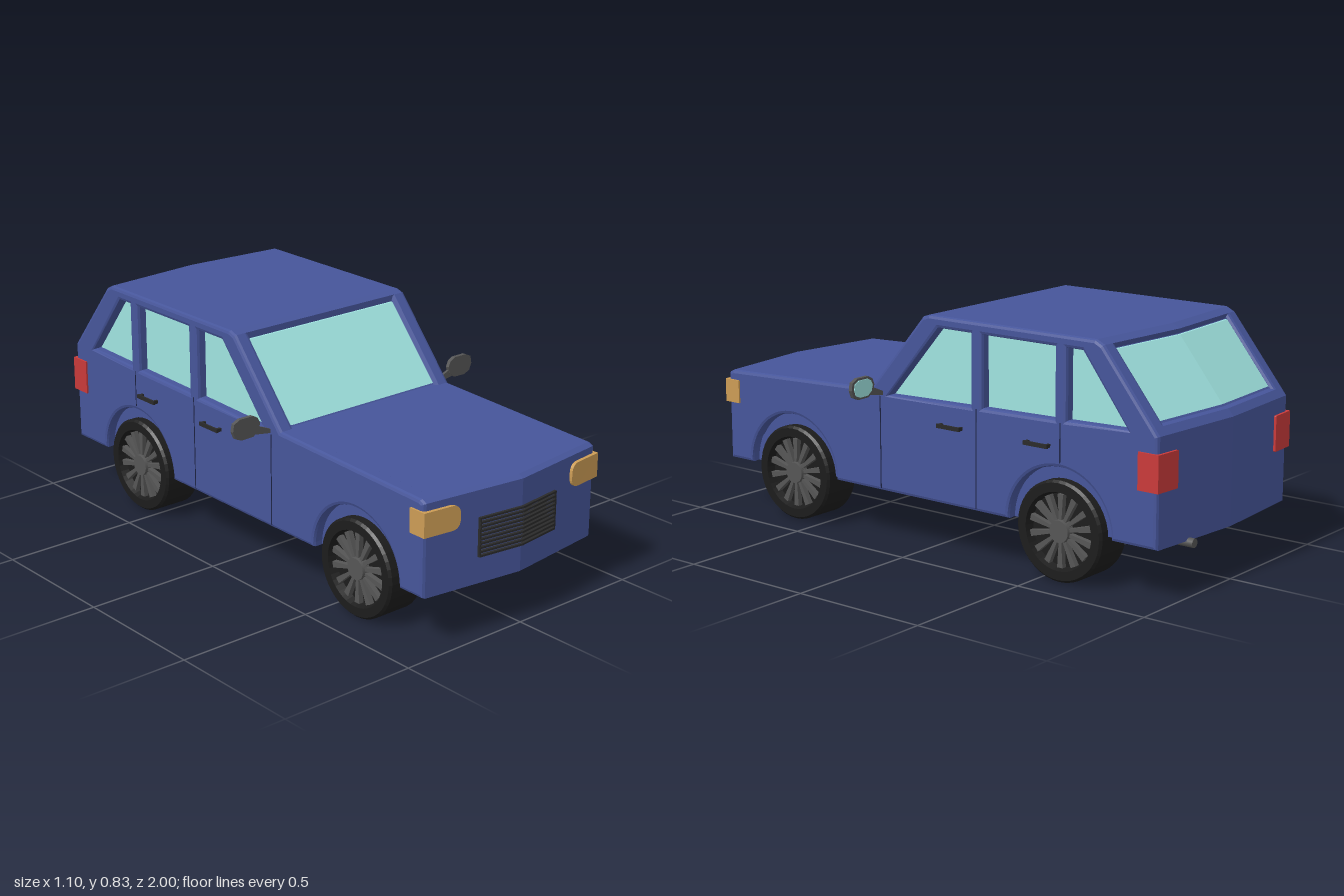
import * as THREE from 'three';

const mat = (color, extra = {}) => new THREE.MeshStandardMaterial({ color, ...extra });
const paint = mat(0x46559a), seamPaint = mat(0x1e2547), glass = mat(0x9fe3e0);
const amber = mat(0xcc9c55), red = mat(0xc93a3a), dark = mat(0x2a2a2a);
const grey = mat(0x555555), rubber = mat(0x1c1c1c, { flatShading: true });

const WIDTH = 0.39, WHEEL_Z = [0.62, -0.58], SIDES = [1, -1];

function add(parent, name, geometry, material) {
  const mesh = new THREE.Mesh(geometry, material);
  mesh.name = name;
  parent.add(mesh);
  return mesh;
}

function box(w, h, d, x, y, z, segments = 1) {
  return new THREE.BoxGeometry(w, h, d, segments, 1, 1).translate(x, y, z);
}

const polygon = (points) => new THREE.Shape(points.map(([a, b]) => new THREE.Vector2(a, b)));

// Nose and tail come to a shallow point in plan: push the ends out towards the middle
function arrow(geometry) {
  const g = geometry.index ? geometry.toNonIndexed() : geometry;
  const p = g.attributes.position;
  for (let i = 0; i < p.count; i++) {
    const z = p.getZ(i), f = Math.max(0, 1 - Math.abs(p.getX(i)) / WIDTH);
    if (z > 0.8) p.setZ(i, z + 0.05 * f);
    else if (z < -0.7) p.setZ(i, z - 0.03 * f);
  }
  g.computeVertexNormals();
  return g;
}

// Extrude a (z, y) profile across x, centred on cx
function across(shape, width, cx = 0, bevel = 0) {
  const depth = width - 2 * bevel;
  const g = new THREE.ExtrudeGeometry(shape, {
    depth, steps: 2, curveSegments: 20, bevelEnabled: bevel > 0,
    bevelThickness: bevel, bevelSize: bevel, bevelOffset: -bevel, bevelSegments: 2,
  });
  g.translate(0, 0, -depth / 2).rotateY(-Math.PI / 2).translate(cx, 0, 0);
  return arrow(g);
}

// Extrude an (x, y) outline from z0 to z1
function along(shape, z0, z1) {
  return new THREE.ExtrudeGeometry(shape, { depth: z1 - z0, bevelEnabled: false, curveSegments: 6 })
    .translate(0, 0, z0);
}

function sidePanelShape() {
  const s = new THREE.Shape();
  s.moveTo(-0.965, 0.18);
  for (const z of [...WHEEL_Z].reverse()) {
    s.lineTo(z - 0.21, 0.18);
    s.absarc(z, 0.18, 0.21, Math.PI, 0, true);
  }
  [[0.94, 0.18], [0.94, 0.505], [0.92, 0.515], [0.24, 0.54], [0, 0.82], [-0.03, 0.83],
    [-0.72, 0.83], [-0.75, 0.815], [-0.945, 0.575], [-0.965, 0.55]].forEach(([z, y]) => s.lineTo(z, y));
  const windows = [
    [[0.155, 0.527], [-0.07, 0.788], [-0.21, 0.788], [-0.21, 0.538]],
    [[-0.26, 0.54], [-0.26, 0.788], [-0.56, 0.788], [-0.56, 0.547]],
    [[-0.608, 0.549], [-0.608, 0.788], [-0.67, 0.788], [-0.848, 0.556]],
  ];
  s.holes = windows.map((w) => new THREE.Path(w.map(([a, b]) => new THREE.Vector2(a, b))));
  return s;
}

// Lamp outline: rounded towards the middle of the car
function lampShape(side, inner, y0, y1, r) {
  const outer = 0.397, s = new THREE.Shape();
  s.moveTo(side * outer, y0);
  s.lineTo(side * (inner + r), y0);
  s.quadraticCurveTo(side * inner, y0, side * inner, y0 + r);
  s.lineTo(side * inner, y1 - r);
  s.quadraticCurveTo(side * inner, y1, side * (inner + r), y1);
  s.lineTo(side * outer, y1);
  return s;
}

function wheel(side, z) {
  const g = new THREE.Group();
  g.name = 'wheel';
  const profile = [[0.125, -0.04], [0.132, -0.075], [0.165, -0.075], [0.173, -0.066],
    [0.173, 0.066], [0.165, 0.075], [0.134, 0.075], [0.125, 0.045]];
  add(g, 'tire', new THREE.LatheGeometry(profile.map(([r, h]) => new THREE.Vector2(r, h)), 40), rubber);
  add(g, 'rimBack', new THREE.CylinderGeometry(0.128, 0.128, 0.09, 40), rubber);
  add(g, 'hub', new THREE.CylinderGeometry(0.038, 0.042, 0.03, 24).translate(0, 0.058, 0), grey);
  for (let i = 0; i < 14; i++) {
    // spokes widen towards the rim
    const spoke = polygon([[0.03, -0.005], [0.125, -0.011], [0.125, 0.011], [0.03, 0.005]]);
    const geo = along(spoke, 0, 0.02).rotateX(-Math.PI / 2).translate(0, 0.044, 0);
    add(g, 'spoke', geo.rotateY((i / 14) * Math.PI * 2), grey);
  }
  g.rotation.z = -side * Math.PI / 2;
  g.position.set(side * 0.315, 0.173, z);
  return g;
}

function mirror(side) {
  const g = new THREE.Group();
  g.name = 'wingMirror';
  const outline = [[0.435, 0.572], [0.445, 0.593], [0.465, 0.604], [0.52, 0.604], [0.545, 0.592],
    [0.55, 0.565], [0.54, 0.54], [0.515, 0.529], [0.465, 0.53], [0.442, 0.547]];
  const scaled = (k) => polygon(outline.map(([x, y]) =>
    [side * (0.493 + (x - 0.493) * k), 0.567 + (y - 0.567) * k]));
  add(g, 'mirrorHousing', along(scaled(1), 0.178, 0.192), grey);
  add(g, 'mirrorGlass', along(scaled(0.8), 0.175, 0.18), glass);
  const stalk = [[0.38, 0.523], [0.38, 0.535], [0.445, 0.563], [0.455, 0.535]];
  add(g, 'mirrorStalk', along(polygon(stalk.map(([x, y]) => [side * x, y])), 0.18, 0.19), grey);
  return g;
}

function doorHandle(side, z) {
  const g = new THREE.Group();
  g.name = 'doorHandle';
  add(g, 'grip', box(0.007, 0.014, 0.1, side * 0.408, 0.458, z), dark);
  for (const e of SIDES) add(g, 'post', box(0.022, 0.012, 0.01, side * 0.397, 0.458, z + e * 0.043), dark);
  return g;
}

export function createModel() {
  const car = new THREE.Group();
  car.name = 'car';

  // Solid centre of the body, set back slightly at the windscreen and rear window
  const core = polygon([[0.94, 0.18], [0.94, 0.505], [0.92, 0.515], [0.24, 0.54], [0.222, 0.54],
    [0, 0.797], [0, 0.82], [-0.03, 0.83], [-0.72, 0.83], [-0.75, 0.815], [-0.742, 0.797],
    [-0.922, 0.577], [-0.945, 0.575], [-0.965, 0.55], [-0.965, 0.18]]);
  add(car, 'bodyCore', across(core, 0.7), paint);

  // Windscreen and rear window
  const windscreen = polygon([[0.219, 0.547], [0.225, 0.547], [0.008, 0.797], [-0.002, 0.797]]);
  add(car, 'windscreen', across(windscreen, 0.654), glass);
  const rearWindow = polygon([[-0.91, 0.585], [-0.922, 0.585], [-0.752, 0.795], [-0.735, 0.795]]);
  add(car, 'rearWindow', across(rearWindow, 0.654), glass);

  // Side window glass, seen through the openings of the side panels
  const sideGlass = polygon([[0.18, 0.515], [-0.06, 0.8], [-0.69, 0.8], [-0.875, 0.545]]);

  for (const s of SIDES) {
    add(car, 'sidePanel', across(sidePanelShape(), 0.06, s * 0.36, 0.012), paint);
    add(car, 'sideWindows', across(sideGlass, 0.01, s * 0.348), glass);
    // Door seams
    for (const [z, y0, y1] of [[0.193, 0.19, 0.52], [-0.235, 0.19, 0.535], [-0.585, 0.405, 0.54]])
      add(car, 'doorSeam', box(0.002, y1 - y0, 0.004, s * 0.39, (y0 + y1) / 2, z), seamPaint);
    add(car, 'headlight', arrow(along(lampShape(s, 0.255, 0.395, 0.48, 0.035), 0.885, 0.952)), amber);
    add(car, 'tailLight', arrow(along(lampShape(s, 0.295, 0.37, 0.495, 0.004), -0.974, -0.895)), red);
    for (const z of [-0.128, -0.498]) car.add(doorHandle(s, z));
    car.add(mirror(s));
    for (const z of WHEEL_Z) car.add(wheel(s, z));
    add(car, 'grilleEnd', arrow(box(0.006, 0.137, 0.012, s * 0.172, 0.343, 0.943)), dark);
  }

  // Grille slats
  for (let i = 0; i < 10; i++)
    add(car, 'grilleSlat', arrow(box(0.348, 0.007, 0.02, 0, 0.278 + i * 0.0145, 0.94, 2)), dark);

  // Exhaust pipe
  const pipe = new THREE.CylinderGeometry(0.016, 0.016, 0.15, 12).rotateX(Math.PI / 2);
  add(car, 'exhaustPipe', pipe.translate(0.22, 0.174, -0.925), grey);

  return car;
}
